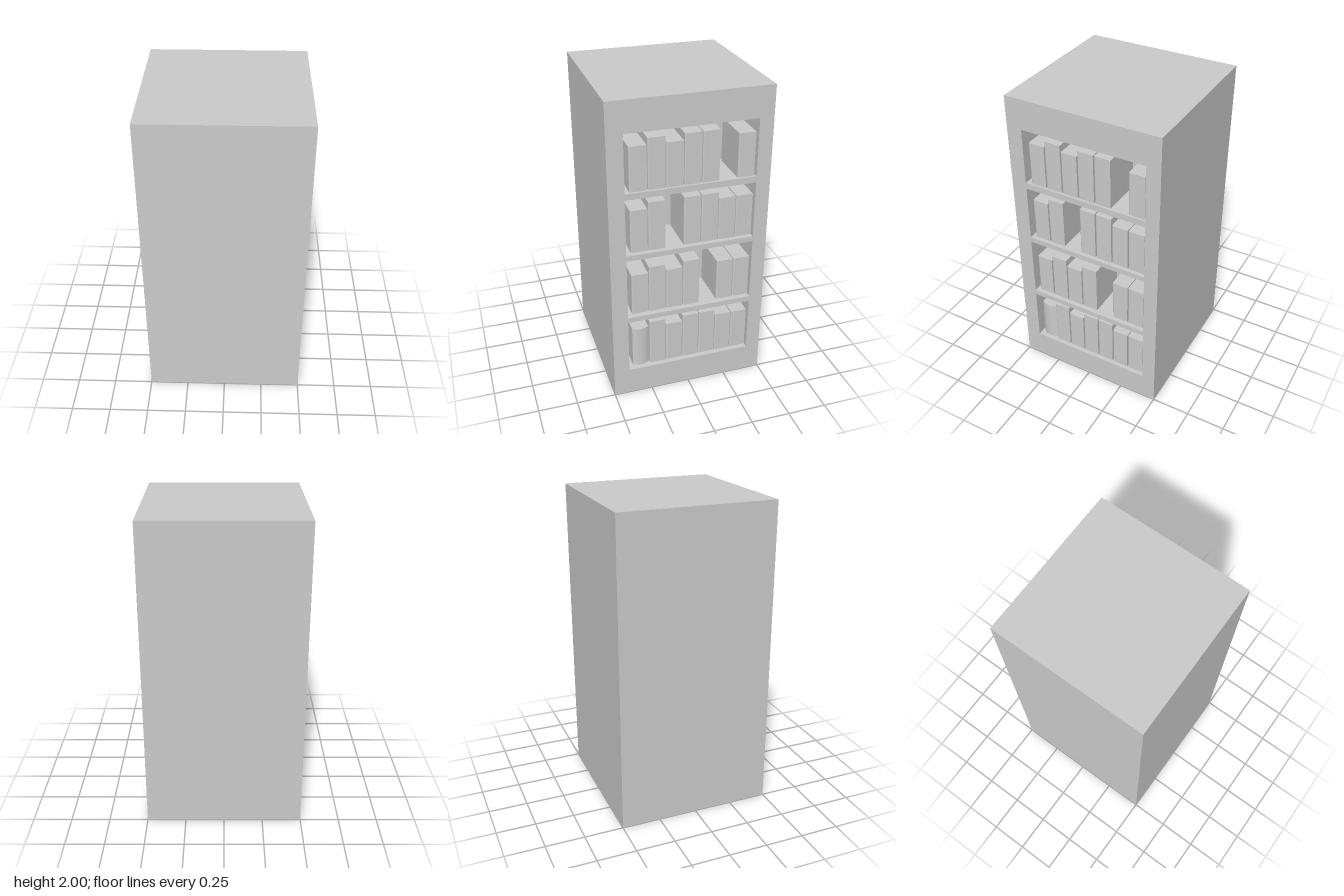
import * as THREE from 'three';

const grey = new THREE.MeshStandardMaterial({ color: 0xcccccc, flatShading: true });

// Shelf openings on the +x side: bottom, top, book base, empty slots
const shelves = [
  { bottom: 0.18, top: 0.55, base: 0.195, gaps: [] },
  { bottom: 0.585, top: 0.995, base: 0.6, gaps: [4] },
  { bottom: 1.03, top: 1.4, base: 1.04, gaps: [2] },
  { bottom: 1.44, top: 1.805, base: 1.44, gaps: [5] },
];
const DEPTH = 0.3;
const BOOK_FRONT = 0.485, BOOK_BACK = 0.22, BOOK_WIDTH = 0.105, PITCH = 0.1105;
const TALL_SLOTS = [1, 3, 4];

function add(group, name, geometry) {
  const mesh = new THREE.Mesh(geometry, grey);
  mesh.name = name;
  group.add(mesh);
  return mesh;
}

function rectangle(path, x0, y0, x1, y1) {
  path.moveTo(x0, y0);
  path.lineTo(x1, y0);
  path.lineTo(x1, y1);
  path.lineTo(x0, y1);
  path.closePath();
  return path;
}

// Plan outline (x, -z) of one book, raised to its height
function bookGeometry(zMax, height, roundSpine) {
  const y0 = -zMax, y1 = y0 + BOOK_WIDTH, r = 0.01;
  const s = new THREE.Shape();
  s.moveTo(BOOK_BACK, y0);
  if (roundSpine) {
    s.lineTo(BOOK_FRONT - 0.015, y0);
    s.quadraticCurveTo(BOOK_FRONT + 0.015, (y0 + y1) / 2, BOOK_FRONT - 0.015, y1);
  } else {
    s.lineTo(BOOK_FRONT - r, y0);
    s.quadraticCurveTo(BOOK_FRONT, y0, BOOK_FRONT, y0 + r);
    s.lineTo(BOOK_FRONT, y1);
  }
  s.lineTo(BOOK_BACK, y1);
  s.closePath();
  return new THREE.ExtrudeGeometry(s, { depth: height, bevelEnabled: false, curveSegments: 6 })
    .rotateX(-Math.PI / 2);
}

export function createModel() {
  const model = new THREE.Group();
  model.name = 'bookcaseBlock';

  // Solid body behind the shelves
  add(model, 'body', new THREE.BoxGeometry(1 - DEPTH, 2, 1)).position.set(-DEPTH / 2, 1, 0);

  // Face frame with the four shelf openings
  const face = rectangle(new THREE.Shape(), -0.5, 0, 0.5, 2);
  for (const { bottom, top } of shelves) {
    face.holes.push(rectangle(new THREE.Path(), -0.4, bottom, 0.41, top));
  }
  add(model, 'shelfFrame', new THREE.ExtrudeGeometry(face, { depth: DEPTH, bevelEnabled: false })
    .rotateY(Math.PI / 2)).position.x = 0.5 - DEPTH;

  // Seven slots per shelf, some left empty
  shelves.forEach(({ base, gaps }, row) => {
    const books = new THREE.Group();
    books.name = `bookRow${row + 1}`;
    for (let i = 0; i < 7; i++) {
      if (gaps.includes(i)) continue;
      const height = TALL_SLOTS.includes(i) ? 0.32 : 0.28;
      const geometry = bookGeometry(0.368 - i * PITCH, height, row === 0 && i === 0);
      add(books, 'book', geometry).position.y = base;
    }
    model.add(books);
  });
  return model;
}
